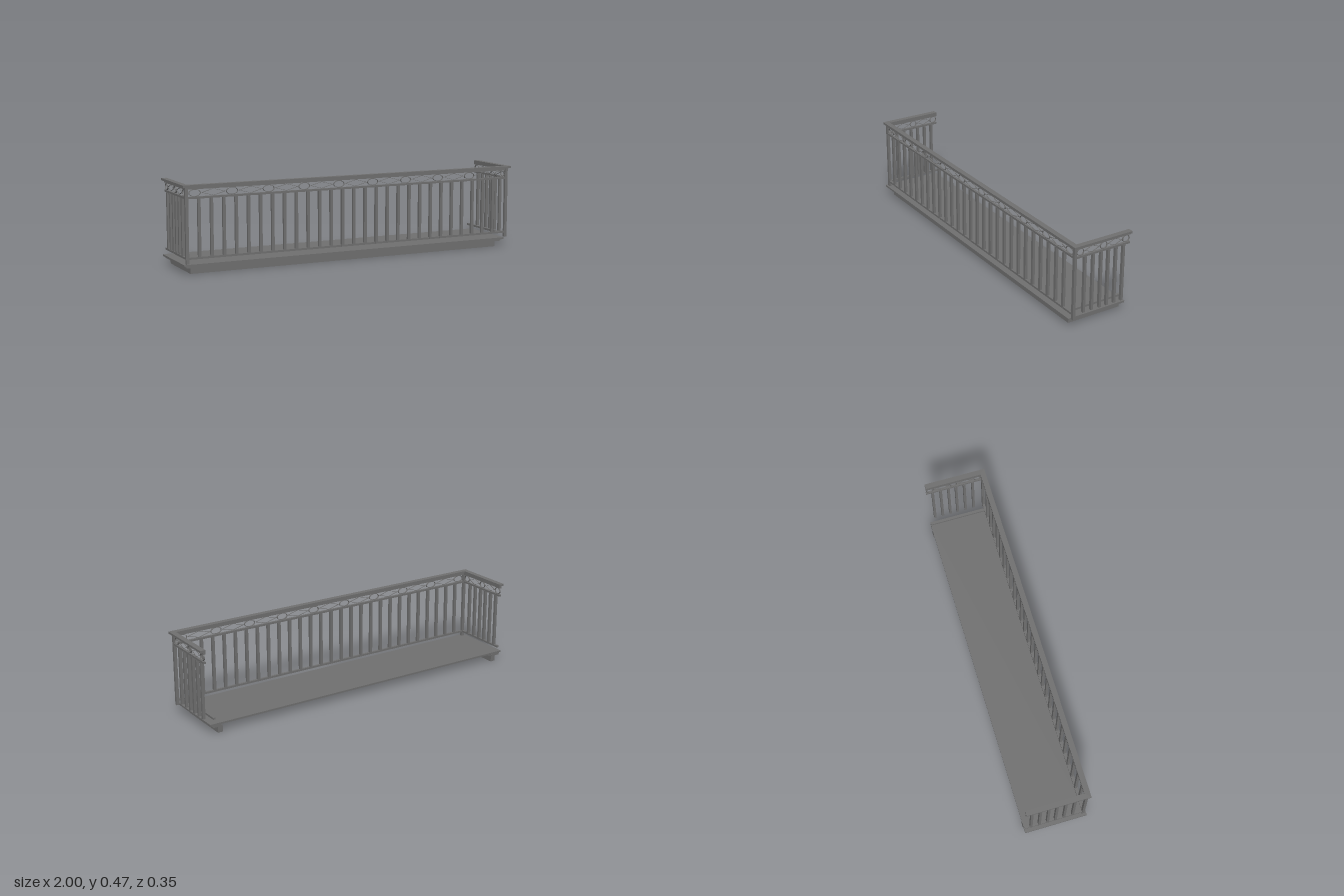
import * as THREE from 'three';

const BACK = -0.177;
const material = new THREE.MeshStandardMaterial({ color: 0x707070 });

function add(parent, name, geometry, x = 0, y = 0, z = 0) {
  const mesh = new THREE.Mesh(geometry, material);
  mesh.name = name;
  mesh.position.set(x, y, z);
  parent.add(mesh);
  return mesh;
}

// Box given by its two opposite corners
function block(parent, name, [x0, y0, z0], [x1, y1, z1]) {
  return add(parent, name, new THREE.BoxGeometry(x1 - x0, y1 - y0, z1 - z0),
    (x0 + x1) / 2, (y0 + y1) / 2, (z0 + z1) / 2);
}

// Bar running round the front and both sides, open at the back
function uBar(parent, name, half, front, y0, y1, width) {
  const shape = new THREE.Shape([
    [-half, BACK], [-half, front], [half, front], [half, BACK],
    [half - width, BACK], [half - width, front - width],
    [width - half, front - width], [width - half, BACK],
  ].map(([x, z]) => new THREE.Vector2(x, -z)));
  const geometry = new THREE.ExtrudeGeometry(shape, { depth: y1 - y0, bevelEnabled: false });
  geometry.rotateX(-Math.PI / 2);
  return add(parent, name, geometry, 0, y0, 0);
}

// Flat ring-like outline with a matching hole, centred on its own origin
function outline(points, holePoints, depth) {
  const shape = new THREE.Shape(points);
  shape.holes.push(new THREE.Path(holePoints));
  const geometry = new THREE.ExtrudeGeometry(shape, { depth, bevelEnabled: false });
  return geometry.translate(0, 0, -depth / 2);
}

function ellipseGeometry(rx, ry) {
  const ring = (a, b) => new THREE.EllipseCurve(0, 0, a, b).getPoints(32).slice(0, -1);
  return outline(ring(rx, ry), ring(rx - 0.003, ry - 0.003), 0.007);
}

function diamondGeometry(rx, ry) {
  const ring = (a, b) => [[a, 0], [0, b], [-a, 0], [0, -b]].map(([x, y]) => new THREE.Vector2(x, y));
  const k = 1 - 0.002 / ry;
  return outline(ring(rx, ry), ring(rx * k, ry * k), 0.004);
}

export function createModel() {
  const model = new THREE.Group();
  model.name = 'balcony';

  // Floor slab with stepped moulding, hollow underneath
  const base = new THREE.Group();
  base.name = 'base';
  base.position.x = -0.02;
  model.add(base);
  block(base, 'floor', [-0.98, 0.045, BACK], [0.98, 0.055, 0.177]);
  uBar(base, 'upperMoulding', 0.97, 0.168, 0.041, 0.045, 0.055);
  uBar(base, 'lowerMoulding', 0.964, 0.162, 0.033, 0.041, 0.055);
  uBar(base, 'skirt', 0.936, 0.146, 0, 0.033, 0.03);

  // Rails
  const railing = new THREE.Group();
  railing.name = 'railing';
  model.add(railing);
  uBar(railing, 'handrail', 1, 0.177, 0.459, 0.471, 0.03);
  uBar(railing, 'topRail', 0.984, 0.166, 0.447, 0.459, 0.013);
  uBar(railing, 'middleRail', 0.984, 0.166, 0.397, 0.408, 0.013);

  // Bottom rails, the one on the +x side set inwards over the floor
  block(railing, 'frontBottomRail', [-0.984, 0.079, 0.153], [0.984, 0.09, 0.166]);
  for (const x of [-0.977, 0.934]) {
    block(railing, 'sideBottomRail', [x - 0.007, 0.079, BACK], [x + 0.007, 0.09, 0.153]);
  }

  // Corner posts
  for (const s of [-1, 1]) {
    add(railing, 'cornerPost', new THREE.BoxGeometry(0.017, 0.404, 0.015), s * 0.977, 0.257, 0.16);
  }

  // Balusters
  const baluster = new THREE.BoxGeometry(0.016, 0.318, 0.014);
  for (let i = 0; i < 27; i++) {
    add(railing, 'frontBaluster', baluster, -0.909 + i * 0.0691, 0.239, 0.16);
  }
  for (const s of [-1, 1]) {
    for (const z of [0.099, 0.049, 0, -0.045, -0.092, -0.139]) {
      add(railing, 'sideBaluster', baluster, s * 0.977, 0.239, z);
    }
  }

  // Front frieze of alternating ovals and diamonds
  const friezeY = 0.4275;
  const frontOval = ellipseGeometry(0.033, 0.0195);
  const frontDiamond = diamondGeometry(0.069, 0.0185);
  const step = 0.2073;
  for (let i = 0; i < 10; i++) {
    const x = 0.002 + (i - 4.5) * step;
    add(railing, 'frontOval', frontOval, x, friezeY, 0.16);
    if (i < 9) add(railing, 'frontDiamond', frontDiamond, x + step / 2, friezeY, 0.16);
  }

  // Side friezes
  const sideOval = ellipseGeometry(0.022, 0.0195).rotateY(Math.PI / 2);
  const sideDiamond = diamondGeometry(0.047, 0.0185).rotateY(Math.PI / 2);
  for (const s of [-1, 1]) {
    for (const z of [0.128, -0.015, -0.154]) add(railing, 'sideOval', sideOval, s * 0.977, friezeY, z);
    for (const z of [0.056, -0.085]) add(railing, 'sideDiamond', sideDiamond, s * 0.977, friezeY, z);
  }

  return model;
}
